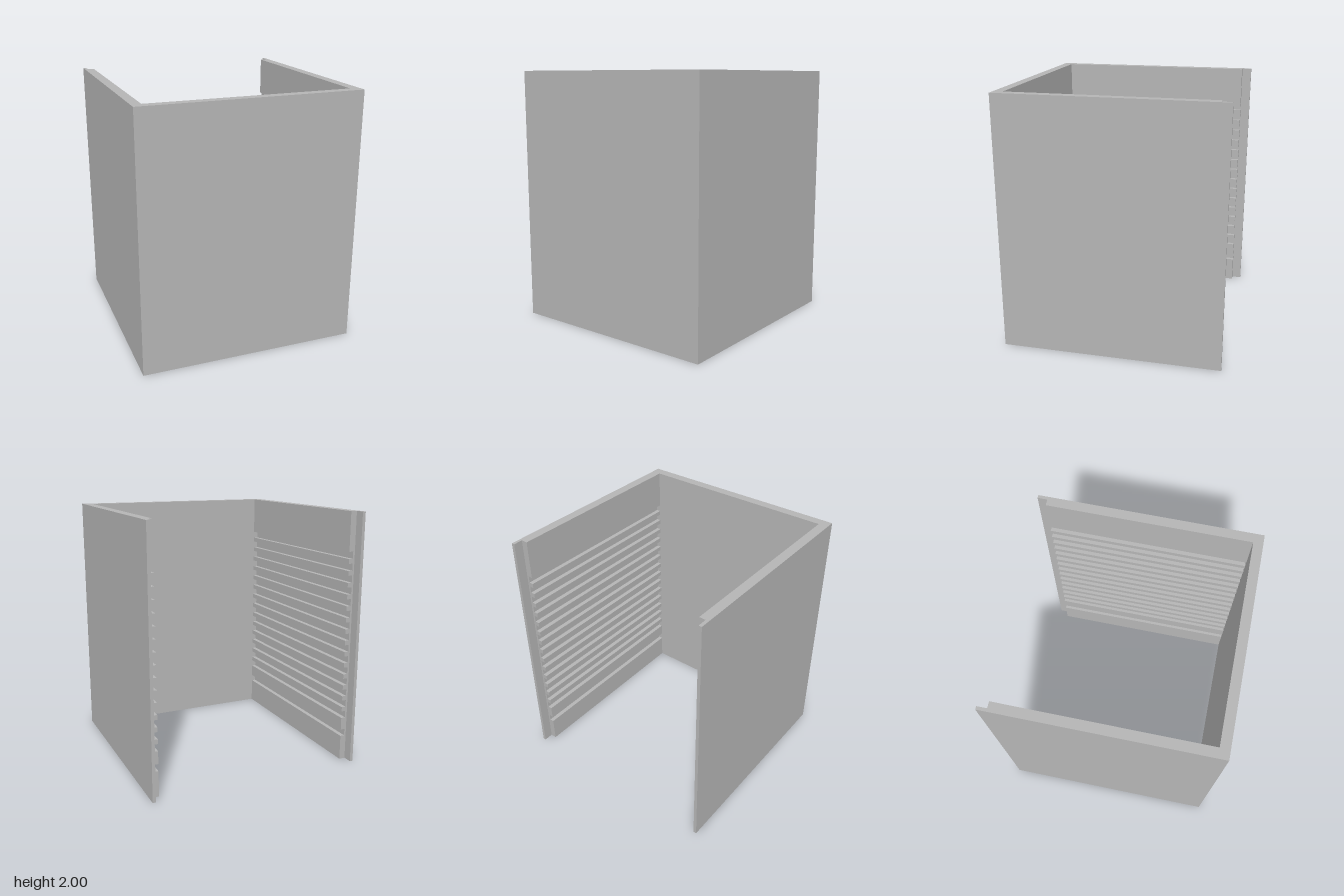
import * as THREE from 'three';

const HALF = 0.855;   // half of the outer width and depth
const HEIGHT = 2;
const INNER = 0.78;   // inner face of the walls
const LIP = 0.025;    // thickness of the rear lips
const FLOOR = INNER - 0; // side walls run from -INNER to +INNER in z
const GROOVE_DEPTH = 0.035;

export function createModel() {
  const grey = new THREE.MeshStandardMaterial({ color: 0xb4b4b4 });
  grey.name = 'light grey';
  const model = new THREE.Group();
  model.name = 'slottedRack';

  const add = (name, geometry, x, y, z) => {
    const mesh = new THREE.Mesh(geometry, grey);
    mesh.name = name;
    mesh.position.set(x, y, z);
    model.add(mesh);
    return mesh;
  };

  // Grooves as [bottom, top]: one low slot, then an even stack of fifteen
  const grooves = [[0.2, 0.255]];
  const count = 15, width = 0.055, first = 0.355, last = 1.695;
  const pitch = (last - first - width) / (count - 1);
  for (let i = 0; i < count; i++) {
    const y = first + i * pitch;
    grooves.push([y, y + width]);
  }

  // Side wall section, notched on its inner face
  const section = new THREE.Shape();
  section.moveTo(HALF, 0);
  section.lineTo(HALF, HEIGHT);
  section.lineTo(INNER, HEIGHT);
  for (const [low, high] of grooves.reverse()) {
    section.lineTo(INNER, high);
    section.lineTo(INNER + GROOVE_DEPTH, high);
    section.lineTo(INNER + GROOVE_DEPTH, low);
    section.lineTo(INNER, low);
  }
  section.lineTo(INNER, 0);
  section.closePath();
  const wall = new THREE.ExtrudeGeometry(section, { depth: 2 * FLOOR, bevelEnabled: false });
  wall.translate(0, 0, -FLOOR);

  add('leftWall', wall, 0, 0, 0);
  add('rightWall', wall, 0, 0, 0).rotation.y = Math.PI;

  // Plain front panel
  const thickness = HALF - INNER;
  add('frontPanel', new THREE.BoxGeometry(2 * HALF, HEIGHT, thickness),
    0, HEIGHT / 2, HALF - thickness / 2);

  // Thin lips that carry the outer faces on past the grooved walls
  const lip = new THREE.BoxGeometry(LIP, HEIGHT, thickness);
  for (const side of [1, -1]) {
    add(side > 0 ? 'leftRearLip' : 'rightRearLip', lip,
      side * (HALF - LIP / 2), HEIGHT / 2, -HALF + thickness / 2);
  }
  return model;
}
